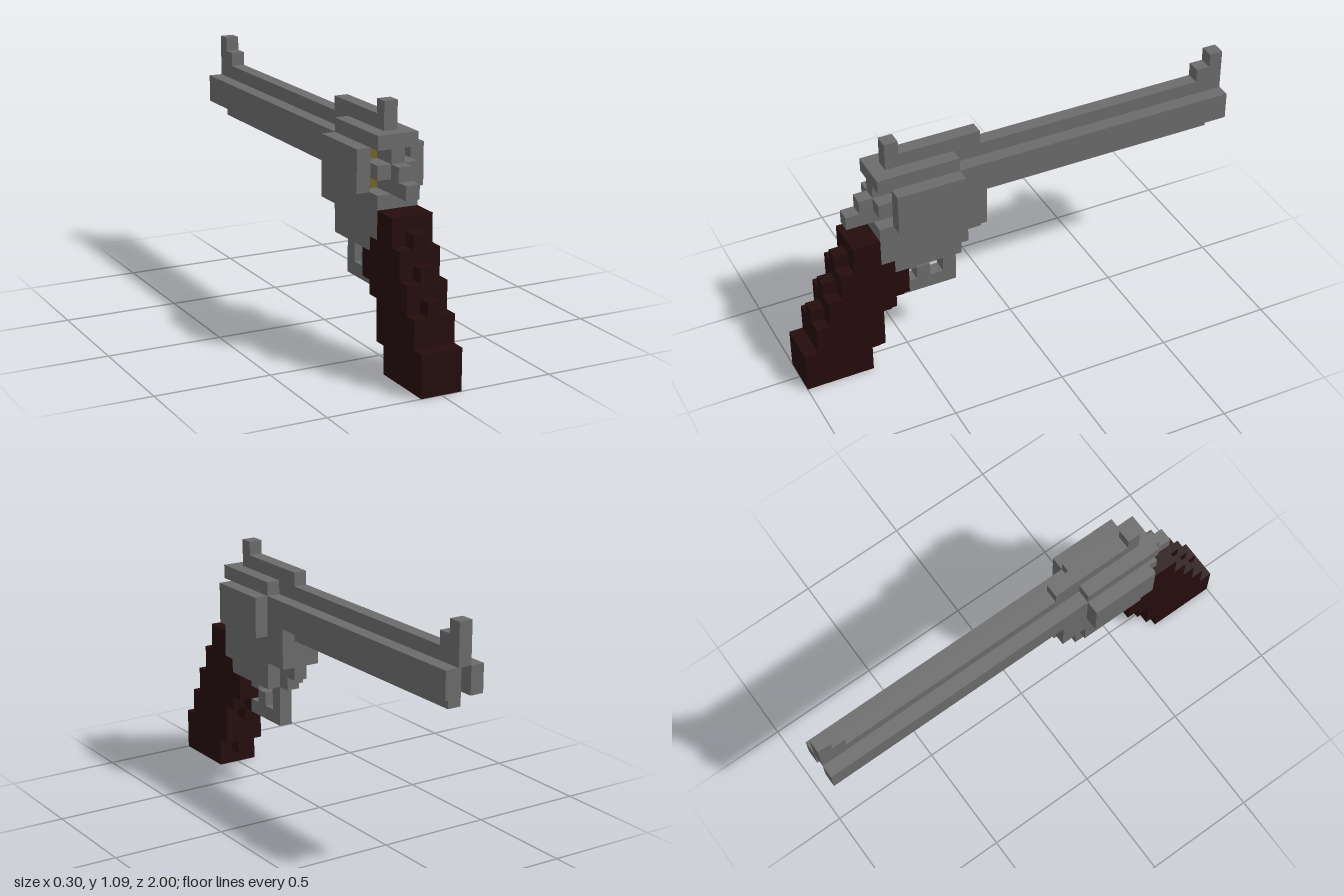
import * as THREE from 'three';

const U = 2 / 33; // one block

const steel = new THREE.MeshStandardMaterial({ color: 0x6b6b6b });
steel.name = 'steel grey';
const wood = new THREE.MeshStandardMaterial({ color: 0x240c0c });
wood.name = 'dark wood';
const brass = new THREE.MeshStandardMaterial({ color: 0x756620 });
brass.name = 'brass';

// Blocks from x0..x1, i0..i1 (counted from the back towards the muzzle), r0..r1 (rows upward)
function block(parent, material, x0, x1, [i0, i1, r0, r1]) {
  const mesh = new THREE.Mesh(new THREE.BoxGeometry((x1 - x0) * U, (r1 - r0) * U, (i1 - i0) * U), material);
  mesh.position.set((x0 + x1) / 2 * U, (r0 + r1) / 2 * U, 1 - (i0 + i1) / 2 * U);
  mesh.name = parent.name + 'Block';
  parent.add(mesh);
}

export function createModel() {
  const model = new THREE.Group();
  model.name = 'revolver';

  const part = (name, material, { centre = [], sides = [], outer = [] }) => {
    const group = new THREE.Group();
    group.name = name;
    model.add(group);
    centre.forEach((b) => block(group, material, -0.5, 0.5, b));
    for (const [list, a, c] of [[sides, 0.5, 1.5], [outer, 1.5, 2.5]]) {
      list.forEach((b) => {
        block(group, material, a, c, b);
        block(group, material, -c, -a, b);
      });
    }
  };

  // Stepped grip, with the middle ridge standing proud of the cheeks
  part('grip', wood, {
    centre: [
      [0, 5, 0, 1], [0, 6, 1, 3], [1, 6, 3, 4], [1, 7, 4, 5], [1, 8, 5, 6],
      [2, 8, 6, 8], [3, 7, 8, 9], [3, 6, 9, 10], [4, 6, 10, 11],
    ],
    sides: [
      [0, 5, 0, 2], [0, 6, 2, 3], [1, 6, 3, 5], [2, 7, 5, 6], [2, 8, 6, 7],
      [3, 8, 7, 8], [3, 7, 8, 9], [4, 6, 9, 11],
    ],
  });

  // Frame, with open notches behind the chambers
  part('frame', steel, {
    centre: [[7, 13, 8, 9], [6, 14, 9, 16], [7, 14, 16, 17]],
    sides: [[7, 12, 8, 9], [6, 12, 9, 10], [6, 14, 10, 12], [8, 14, 12, 15], [6, 8, 13, 14], [6, 12, 15, 16]],
  });

  part('cylinder', steel, { outer: [[7, 12, 12, 15]] });
  part('cartridges', brass, { sides: [[7.9, 8, 12, 13], [7.9, 8, 14, 15]] });

  part('hammer', steel, { centre: [[4, 6, 12, 13], [5, 6, 13, 14]] });
  part('rearSight', steel, { centre: [[7, 8, 17, 18]] });

  // Barrel with top rib, lower rod and a recessed bore
  part('barrel', steel, {
    centre: [[14, 32, 12, 15], [14, 33, 15, 16]],
    sides: [[14, 33, 13, 15]],
  });
  part('frontSight', steel, { centre: [[31, 33, 16, 17], [32, 33, 17, 18]] });

  part('triggerGuard', steel, { centre: [[8, 12, 5, 6], [11, 12, 6, 8], [8, 9, 7, 8]] });
  part('trigger', steel, { centre: [[9, 10, 6, 7]] });

  return model;
}
